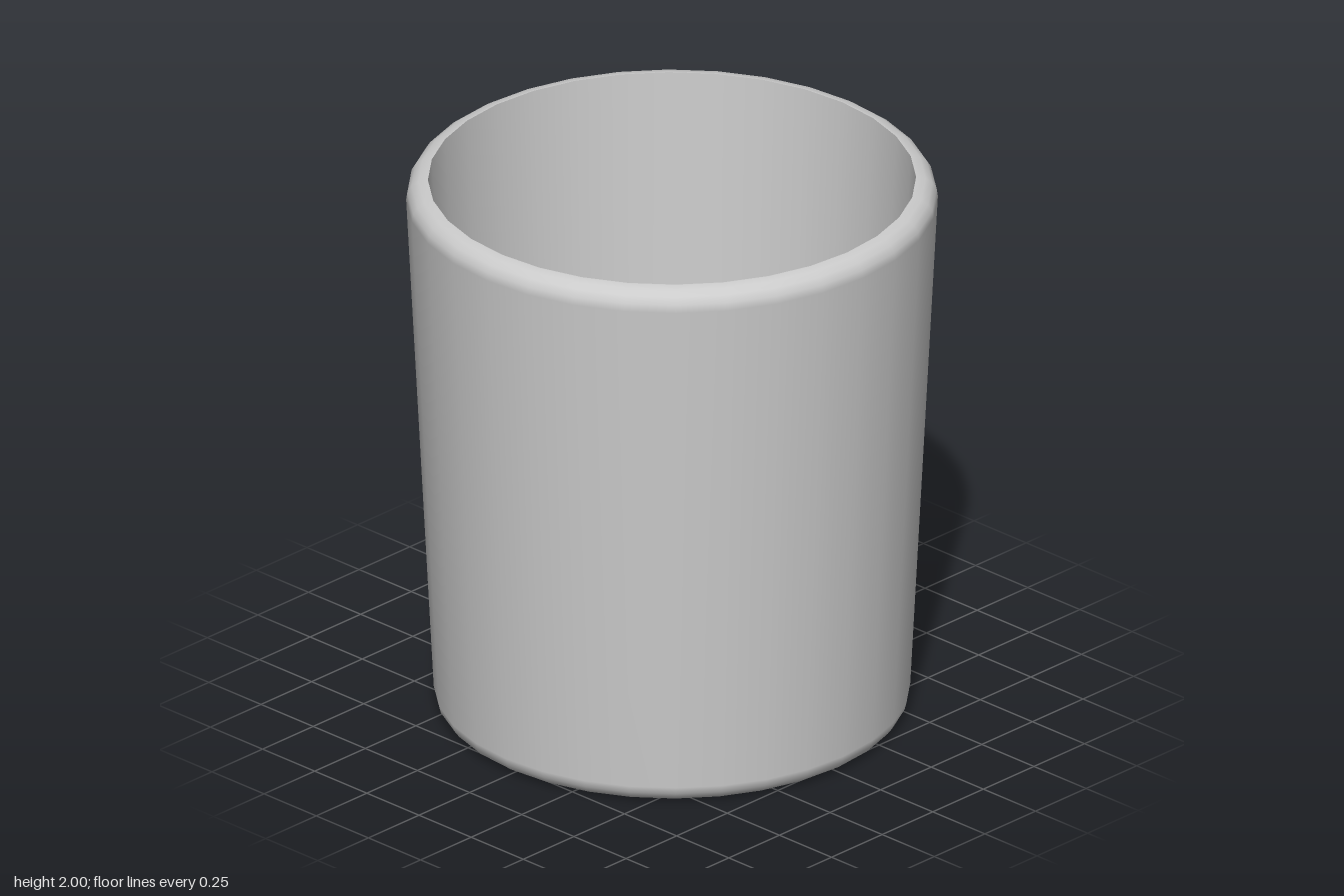
import * as THREE from 'three';

const SIDES = 32;

// Points on a circular arc, angles in degrees
function arc(cx, cy, r, from, to, steps = 4) {
  return Array.from({ length: steps + 1 }, (_, i) => {
    const a = THREE.MathUtils.degToRad(from + ((to - from) * i) / steps);
    return new THREE.Vector2(cx + r * Math.cos(a), cy + r * Math.sin(a));
  });
}

function revolve(name, profile, material) {
  const mesh = new THREE.Mesh(new THREE.LatheGeometry(profile, SIDES), material);
  mesh.name = name;
  return mesh;
}

export function createModel() {
  const group = new THREE.Group();
  group.name = 'cup';
  const material = new THREE.MeshStandardMaterial({ color: 0xcccccc });

  // Base, tapered outer wall and rounded lip, from the base centre upwards
  const outer = [
    new THREE.Vector2(0, 0),
    ...arc(0.75, 0.07, 0.07, -90, -3),
    ...arc(0.845, 1.93, 0.07, -3, 90),
    new THREE.Vector2(0.84, 2),
  ];
  group.add(revolve('outerWall', outer, material));

  // Inner wall from the sharp lip edge down to the filleted floor
  const inner = [
    new THREE.Vector2(0.84, 2),
    ...arc(0.7, 0.125, 0.045, -3, -90),
    new THREE.Vector2(0, 0.08),
  ];
  group.add(revolve('innerWall', inner, material));

  return group;
}
